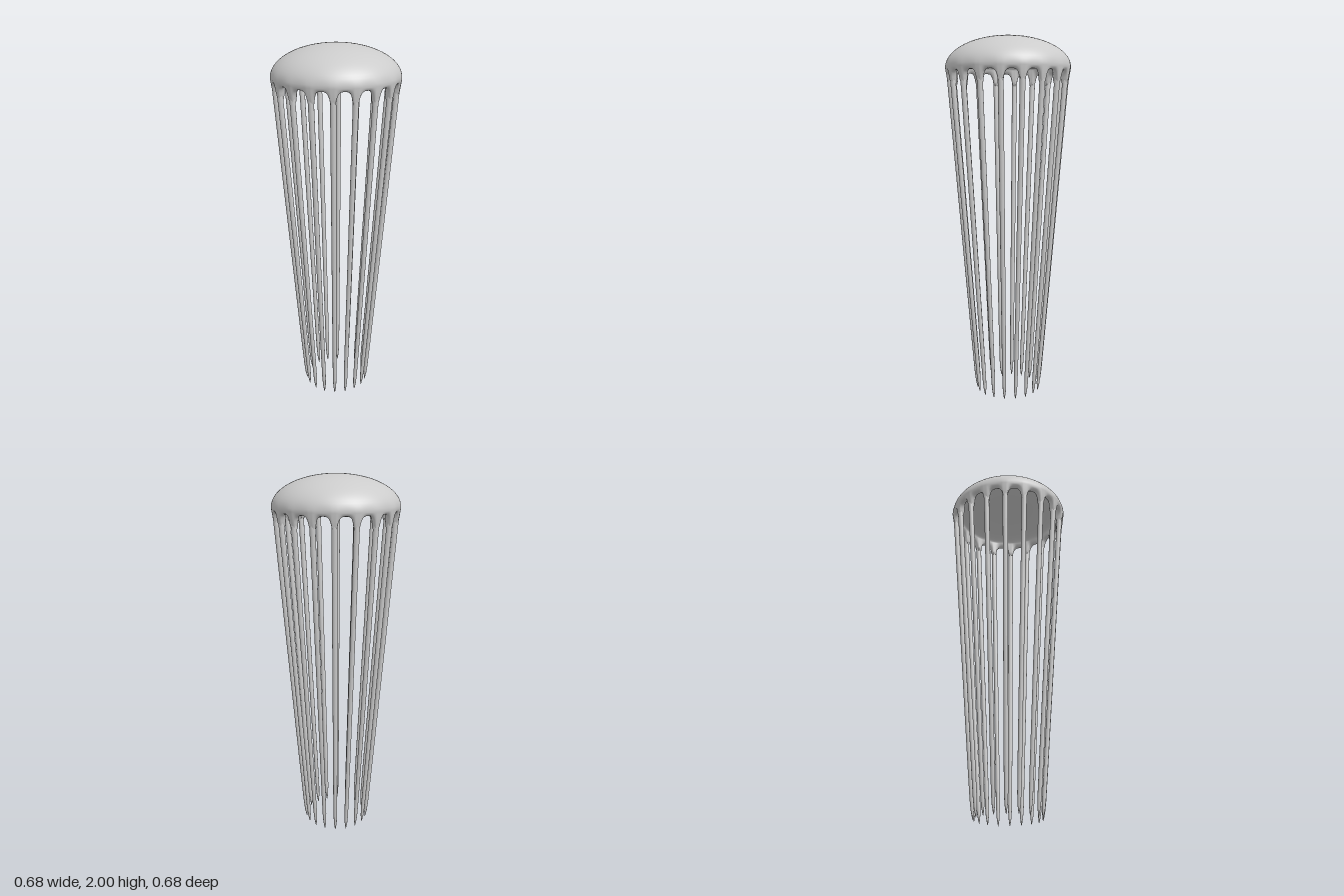
import * as THREE from 'three';
import { mergeVertices } from 'three/addons/utils/BufferGeometryUtils.js';

const COUNT = 18;
const STEP = (Math.PI * 2) / COUNT;
const PHASE = THREE.MathUtils.degToRad(5);   // azimuth of the first tentacle, from +x towards +z
const SLOPE = 0.079, FOOT = 0.177;           // tentacle centre radius = FOOT + SLOPE * y

// Drop the old seams so the normals run smoothly all the way round
function smooth(geometry) {
  geometry.deleteAttribute('uv');
  geometry.deleteAttribute('normal');
  const merged = mergeVertices(geometry, 1e-5);
  merged.computeVertexNormals();
  return merged;
}

// Cap with a shallow hollow underside, its lip scalloped into arches between the tentacles
function bellGeometry() {
  const profile = [];
  const arc = (r, y, h, from, to, n) => {
    for (let i = 0; i <= n; i++) {
      const a = (from + (to - from) * (i / n)) * Math.PI / 2;
      profile.push(new THREE.Vector2(Math.max(0, r * Math.cos(a)), y + h * Math.sin(a)));
    }
  };
  arc(0.298, 1.83, 0.06, 1, 0, 14);              // underside
  [[0.302, 1.819], [0.309, 1.813], [0.319, 1.81], [0.33, 1.812], [0.337, 1.818]]
    .forEach(([r, y]) => profile.push(new THREE.Vector2(r, y))); // rounded lip
  arc(0.341, 1.828, 0.172, 0, 1, 18);            // outside

  const geometry = new THREE.LatheGeometry(profile, COUNT * 20);
  const p = geometry.attributes.position;
  const half = 0.042;                            // half width of a tentacle root, radians
  for (let i = 0; i < p.count; i++) {
    const x = p.getX(i), y = p.getY(i), z = p.getZ(i);
    const r = Math.hypot(x, z);
    if (r < 0.2) continue;
    const turn = (Math.atan2(z, x) - PHASE) / STEP;
    const u = Math.abs(turn - Math.round(turn)) * STEP;
    const t = THREE.MathUtils.clamp((u - half) / (STEP / 2 - half), 0, 1);
    const arch = 1 - Math.sqrt(1 - Math.pow(1 - t, 3.2));
    const drop = 0.07 * arch * THREE.MathUtils.clamp((1.828 - y) / 0.012, 0, 1);
    const rim = 1 - THREE.MathUtils.smoothstep(y, 1.82, 1.88);
    const k = (r * (1 - 0.007 * rim * Math.sin(t * Math.PI / 2)) - 0.12 * drop) / r;
    p.setXYZ(i, x * k, y - drop, z * k);
  }
  return smooth(geometry);
}

// Long leaning strand with a pointed tip
function tentacleGeometry() {
  const profile = [[0, 0], [0.003, 0.01], [0.008, 0.045], [0.0105, 0.1], [0.0115, 0.25],
    [0.013, 0.9], [0.0145, 1.6], [0.015, 1.74], [0.014, 1.805], [0, 1.82]]
    .map(([r, y]) => new THREE.Vector2(r, y));
  const geometry = new THREE.LatheGeometry(profile, 12);
  const p = geometry.attributes.position;
  for (let i = 0; i < p.count; i++) p.setX(i, p.getX(i) + FOOT + SLOPE * p.getY(i));
  return smooth(geometry);
}

export function createModel() {
  const model = new THREE.Group();
  model.name = 'jellyfish';
  const material = new THREE.MeshStandardMaterial({ color: 0xcccccc });

  const bell = new THREE.Mesh(bellGeometry(), material);
  bell.name = 'bell';
  model.add(bell);

  // Ring of tentacles
  const tentacles = new THREE.Group();
  tentacles.name = 'tentacles';
  const strand = tentacleGeometry();
  for (let i = 0; i < COUNT; i++) {
    const tentacle = new THREE.Mesh(strand, material);
    tentacle.name = 'tentacle' + (i + 1);
    tentacle.rotation.y = -(PHASE + i * STEP);
    tentacles.add(tentacle);
  }
  model.add(tentacles);
  return model;
}
